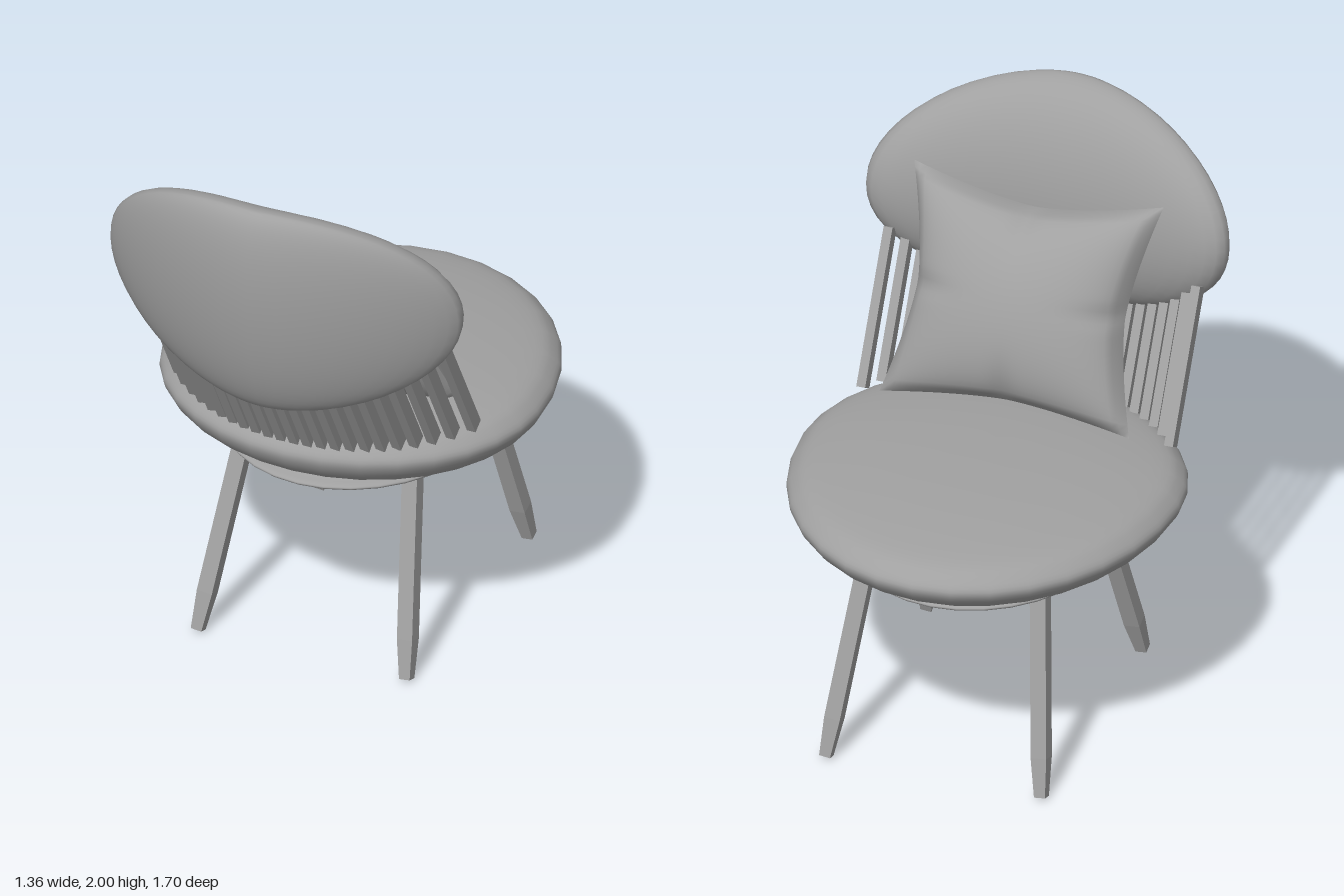
import * as THREE from 'three';
import { mergeVertices, mergeGeometries } from 'three/addons/utils/BufferGeometryUtils.js';

const grey = new THREE.MeshStandardMaterial({ color: 0xa0a0a0 });

// Moves every vertex by a rule, then welds seams and smooths the normals.
function warp(geometry, rule) {
  const p = geometry.attributes.position;
  const v = new THREE.Vector3();
  for (let i = 0; i < p.count; i++) {
    rule(v.fromBufferAttribute(p, i));
    p.setXYZ(i, v.x, v.y, v.z);
  }
  geometry.deleteAttribute('uv');
  geometry.deleteAttribute('normal');
  const welded = mergeVertices(geometry, 1e-4);
  welded.computeVertexNormals();
  return welded;
}

function part(name, geometry) {
  const mesh = new THREE.Mesh(geometry, grey);
  mesh.name = name;
  return mesh;
}

// Round profile of [radius, height] points, smoothed and spun.
function spun(points) {
  const curve = new THREE.SplineCurve(points.map(([r, y]) => new THREE.Vector2(r, y)));
  const profile = curve.getPoints(40);
  profile.forEach(q => { q.x = Math.max(0, q.x); });
  return new THREE.LatheGeometry(profile, 32);
}

// Upright geometry placed as a bar reaching from a to b.
function bar(name, a, b, geometry) {
  const mesh = part(name, geometry);
  mesh.position.copy(a).lerp(b, 0.5);
  mesh.quaternion.setFromUnitVectors(new THREE.Vector3(0, 1, 0), b.clone().sub(a).normalize());
  return mesh;
}

// Egg-shaped cushion, longer towards the open side.
function seat() {
  const g = spun([[0, 0.73], [0.35, 0.73], [0.65, 0.735], [0.82, 0.765], [0.94, 0.815],
    [1, 0.88], [0.965, 0.925], [0.87, 0.96], [0.6, 0.988], [0.3, 1.002], [0, 1.006]]);
  return part('seat', warp(g, v => {
    v.x *= 0.68;
    v.z = -0.05 + v.z * (v.z > 0 ? 0.59 : 0.795);
  }));
}

// Thin dish under the cushion.
function base() {
  const g = spun([[0, 0.668], [0.5, 0.67], [0.8, 0.68], [0.95, 0.695], [1, 0.712],
    [0.95, 0.726], [0.8, 0.735], [0, 0.74]]);
  return part('seatBase', warp(g, v => {
    v.x *= 0.47;
    v.z = -0.115 + v.z * 0.545;
  }));
}

// Oval pad wrapped around the sitter, fuller on the inner side.
function backrest() {
  return part('backrest', warp(new THREE.SphereGeometry(1, 40, 28), v => {
    const bend = Math.pow(v.x * v.x + 0.008, 0.77);
    const mid = 0.745 - 0.225 * bend + 0.035 * v.y;
    v.set(0.655 * v.x, 1.59 + 0.41 * v.y, mid + v.z * (v.z > 0 ? 0.105 : 0.2));
  }));
}

// Square pillow with pointed corners and drawn-in, pinched edges.
function pillow() {
  const sides = [1, -1].map(s => {
    const g = new THREE.PlaneGeometry(2, 2, 36, 36);
    if (s < 0) g.rotateY(Math.PI);
    return warp(g, v => {
      const u = v.x, w = v.y;
      const taper = t => 1 - Math.pow(Math.abs(t), 1.5);
      const pinch = (a, b) => Math.exp(-(a * a) / 0.008) * Math.pow(Math.abs(b), 5);
      const puff = 0.18 * Math.pow(Math.max(0, (1 - u * u) * (1 - w * w)), 0.46);
      const depth = puff * (1 - 0.35 * (pinch(u, w) + pinch(w, u)));
      const drawIn = w > 0 ? 0.2 : 0.13;
      v.set(0.45 * u * (1 - 0.17 * taper(w)), 0.4 * w * (1 - drawIn * taper(u)), s * depth);
    });
  });
  const mesh = part('pillow', mergeGeometries(sides));
  mesh.position.set(0.02, 1.365, 0.31);
  mesh.rotation.x = 0.447;
  return mesh;
}

// Row of sloping slats following the rear rim of the seat.
function slats() {
  const group = new THREE.Group();
  group.name = 'backSlats';
  const count = 24;
  for (let i = 0; i < count; i++) {
    const x = -0.555 + 1.11 * i / (count - 1);
    const z = -0.05 + 0.54 * Math.sqrt(1 - (x / 0.63) ** 2);
    const y0 = 0.93 + 0.03 * (x / 0.555) ** 2;
    const y1 = 1.3 + 0.14 * (x / 0.555) ** 2;
    const a = new THREE.Vector3(x, y0, z);
    const b = new THREE.Vector3(x, y1, z + 0.57 * (y1 - y0));
    group.add(bar('slat', a, b, new THREE.BoxGeometry(0.032, a.distanceTo(b), 0.05)));
  }
  return group;
}

// Four splayed legs, narrowed at the foot.
function legs() {
  const group = new THREE.Group();
  group.name = 'legs';
  for (const s of [1, -1]) {
    for (const [topZ, footZ] of [[0.165, 0.39], [-0.415, -0.62]]) {
      const a = new THREE.Vector3(s * 0.388, 0.008, footZ);
      const b = new THREE.Vector3(s * 0.31, 0.70, topZ);
      const length = a.distanceTo(b);
      const radius = 0.04;
      const profile = [[0, 0], [0.028, 0], [radius, 0.14], [radius, length], [0, length]]
        .map(([r, y]) => new THREE.Vector2(r, y - length / 2));
      const g = new THREE.LatheGeometry(profile, 4, Math.PI / 4).toNonIndexed();
      g.computeVertexNormals();
      group.add(bar(footZ > 0 ? 'rearLeg' : 'frontLeg', a, b, g));
    }
  }
  return group;
}

export function createModel() {
  const model = new THREE.Group();
  model.name = 'chair';
  model.add(seat(), base(), backrest(), pillow(), slats(), legs());
  return model;
}
